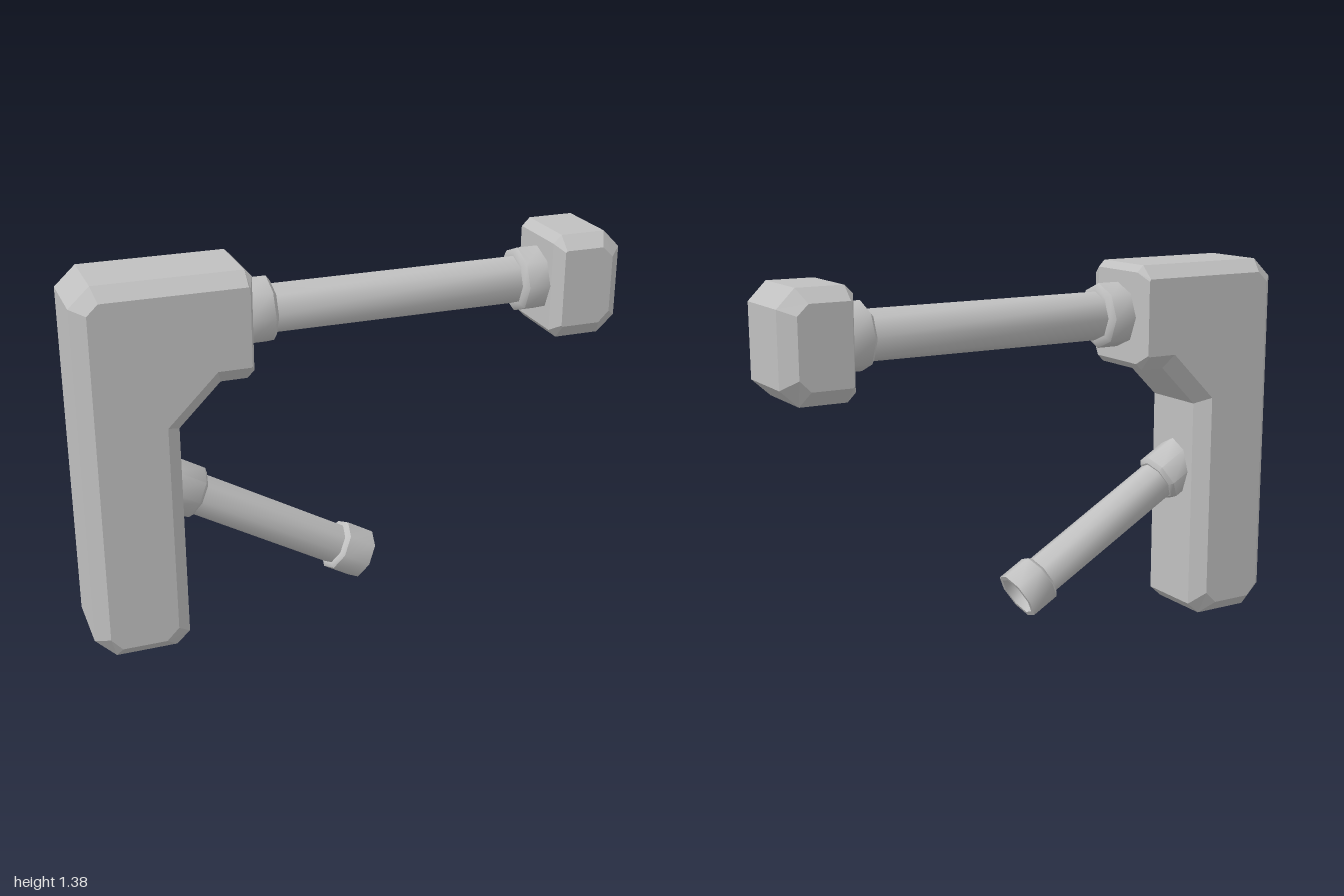
import * as THREE from 'three';
import { toCreasedNormals } from 'three/addons/utils/BufferGeometryUtils.js';

const HALF = 0.175; // half depth of the blocks
const EDGE = 0.125; // half depth where the bevel starts
const AXIS_Y = 1.19; // height of the main bar

const grey = new THREE.MeshStandardMaterial({ color: 0xc0c0c0 });
grey.name = 'grey';

// Block with a small face outline front and back and a wider outline between them
function bevelledBlock(name, face, rim) {
  const shape = new THREE.Shape(face.map(([x, y]) => new THREE.Vector2(x, y)));
  const geo = new THREE.ExtrudeGeometry(shape, { depth: 3, steps: 3, bevelEnabled: false });
  const pos = geo.attributes.position;
  const layers = [-HALF, -EDGE, EDGE, HALF];
  for (let i = 0; i < pos.count; i++) {
    const layer = Math.round(pos.getZ(i));
    let x = pos.getX(i), y = pos.getY(i);
    if (layer === 1 || layer === 2) {
      const k = face.findIndex(([a, b]) => Math.hypot(a - x, b - y) < 1e-4);
      [x, y] = rim[k];
    }
    pos.setXYZ(i, x, y, layers[layer]);
  }
  geo.computeVertexNormals();
  const mesh = new THREE.Mesh(geo, grey);
  mesh.name = name;
  return mesh;
}

// Eight-sided turned part; profile is [radius, distance along the axis]
function turned(name, profile) {
  const points = profile.map(([r, d]) => new THREE.Vector2(r, d));
  const geo = toCreasedNormals(new THREE.LatheGeometry(points, 8), 0.81);
  const mesh = new THREE.Mesh(geo, grey);
  mesh.name = name;
  return mesh;
}

export function createModel() {
  const model = new THREE.Group();
  model.name = 'model';

  // L-shaped body
  model.add(bevelledBlock('body', [
    [-0.91, 0.05], [-0.75, 0.05], [-0.705, 0.095], [-0.705, 0.87], [-0.525, 1.05],
    [-0.41, 1.05], [-0.405, 1.055], [-0.405, 1.325], [-0.41, 1.333],
    [-0.91, 1.333], [-0.95, 1.295], [-0.95, 0.095],
  ], [
    [-0.925, 0], [-0.705, 0], [-0.655, 0.045], [-0.655, 0.845], [-0.505, 0.995],
    [-0.41, 0.995], [-0.385, 1.02], [-0.385, 1.355], [-0.41, 1.38],
    [-0.925, 1.38], [-1, 1.31], [-1, 0.075],
  ]));

  // Block at the far end of the bar
  model.add(bevelledBlock('endBlock', [
    [0.765, 1.05], [0.91, 1.05], [0.95, 1.09], [0.95, 1.295],
    [0.91, 1.333], [0.765, 1.333], [0.76, 1.328], [0.76, 1.055],
  ], [
    [0.765, 0.995], [0.935, 0.995], [1, 1.055], [1, 1.315],
    [0.935, 1.38], [0.765, 1.38], [0.735, 1.35], [0.735, 1.025],
  ]));

  // Main bar with a collar at each end
  const bar = new THREE.Group();
  bar.name = 'mainBar';
  bar.position.y = AXIS_Y;
  bar.rotation.z = -Math.PI / 2;
  bar.add(turned('barShaft', [[0.09, -0.34], [0.09, 0.7]]));
  bar.add(turned('innerCollar', [[0.12, -0.4], [0.12, -0.3], [0.1, -0.285], [0.08, -0.285]]));
  bar.add(turned('outerCollar', [[0.08, 0.64], [0.1, 0.64], [0.12, 0.655], [0.12, 0.75]]));
  model.add(bar);

  // Slanted handle with a root collar and a hollow tip
  const handle = new THREE.Group();
  handle.name = 'handle';
  handle.position.set(0.05, 0.165, 0);
  handle.rotation.z = -Math.PI * 2 / 3;
  handle.add(turned('handleShaft', [[0.078, -0.8], [0.078, -0.09]]));
  handle.add(turned('handleRootCollar', [[0.1, -0.88], [0.1, -0.74], [0.085, -0.725], [0.07, -0.725]]));
  handle.add(turned('handleTip', [
    [0.07, -0.125], [0.082, -0.125], [0.097, -0.112], [0.097, 0],
    [0.08, 0], [0.07, -0.06], [0, -0.06],
  ]));
  model.add(handle);

  return model;
}
